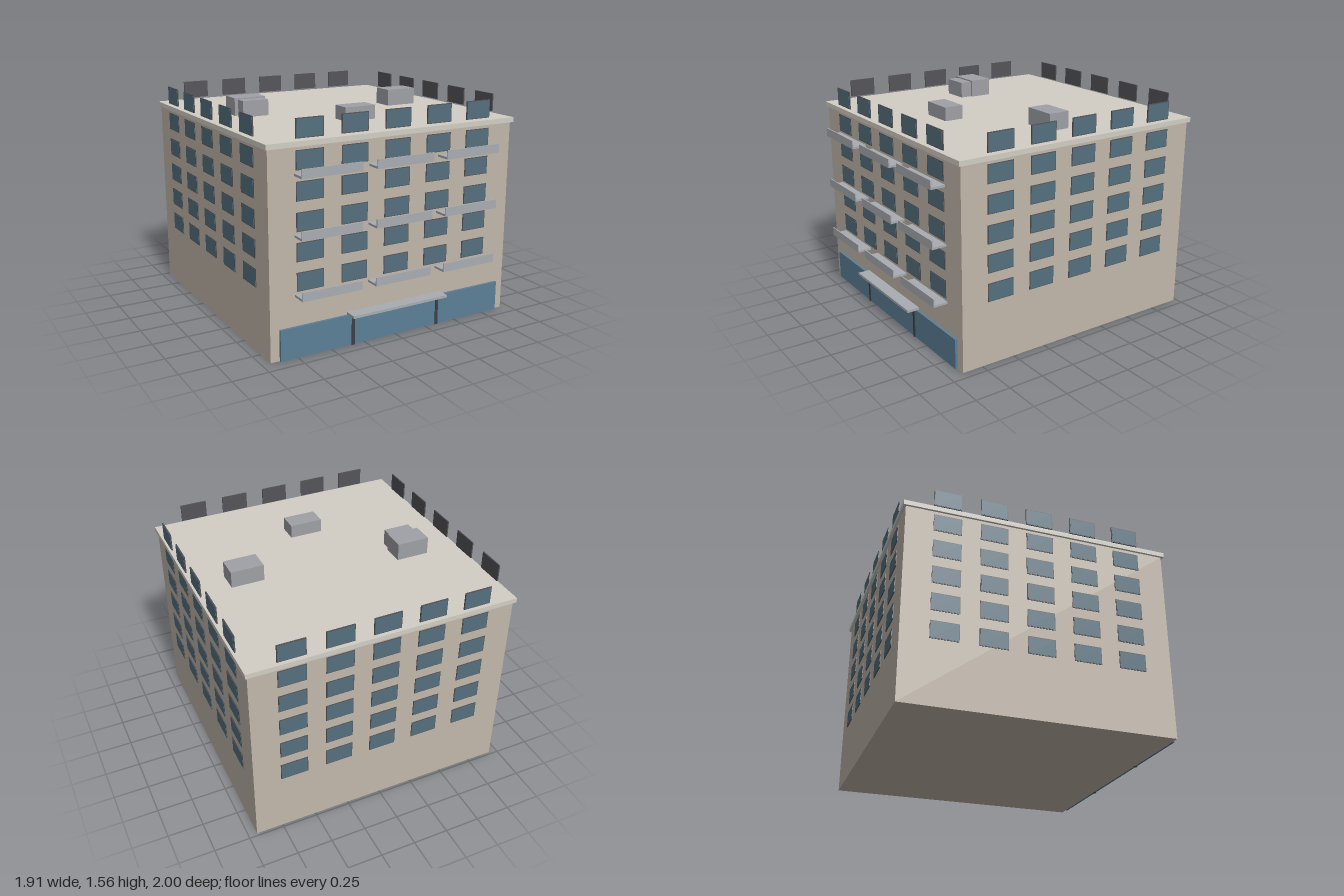
import * as THREE from 'three';

const mat = (color) => new THREE.MeshStandardMaterial({ color });

export function createModel() {
  const model = new THREE.Group();
  model.name = 'apartmentBlock';

  const wall = mat(0xc2b8ab), roofMat = mat(0xd3cfc6), glass = mat(0x55707f);
  const frame = mat(0x55555a), shopGlass = mat(0x5c8098), post = mat(0x3c3f42);
  const concrete = mat(0xa9adb2), metal = mat(0xa0a1a6);

  // Box given by its lower and upper limits on each axis
  function box(name, material, x0, x1, y0, y1, z0, z1, parent = model) {
    const mesh = new THREE.Mesh(new THREE.BoxGeometry(x1 - x0, y1 - y0, z1 - z0), material);
    mesh.position.set((x0 + x1) / 2, (y0 + y1) / 2, (z0 + z1) / 2);
    mesh.name = name;
    parent.add(mesh);
    return mesh;
  }

  // Main block and roof slab
  const zMid = -0.042, halfX = 0.939, halfZ = 0.938;
  box('walls', wall, -halfX, halfX, 0, 1.385, zMid - halfZ, zMid + halfZ);
  box('roofSlab', roofMat, -0.955, 0.955, 1.383, 1.417, zMid - 0.955, zMid + 0.955);

  // Windows: six rows of five on every side, the top row standing above the roof
  const frameGeo = new THREE.BoxGeometry(0.194, 0.125, 0.009);
  const glassGeo = new THREE.BoxGeometry(0.184, 0.115, 0.004);
  ['front', 'left', 'back', 'right'].forEach((name, side) => {
    const facade = new THREE.Group();
    facade.name = name + 'Windows';
    facade.position.z = zMid;
    facade.rotation.y = side * Math.PI / 2;
    const out = side % 2 ? halfX : halfZ;
    for (let row = 0; row < 6; row++) {
      for (let col = -2; col <= 2; col++) {
        const win = new THREE.Group();
        win.name = 'window';
        const f = new THREE.Mesh(frameGeo, frame);
        f.name = 'windowFrame';
        const g = new THREE.Mesh(glassGeo, glass);
        g.name = 'windowGlass';
        g.position.z = 0.004;
        win.add(f, g);
        win.position.set(col * 0.325, 0.511 + row * 0.1965, out);
        facade.add(win);
      }
    }
    model.add(facade);
  });

  // Balconies: floor slab with a front parapet
  for (const y of [0.415, 0.81, 1.202]) {
    for (const x of [-0.543, 0, 0.543]) {
      const balcony = new THREE.Group();
      balcony.name = 'balcony';
      box('balconyFloor', concrete, x - 0.217, x + 0.217, y, y + 0.015, 0.89, 1, balcony);
      box('balconyParapet', concrete, x - 0.218, x + 0.218, y, y + 0.061, 0.992, 1, balcony);
      model.add(balcony);
    }
  }

  // Ground-floor shopfront, door posts and canopy
  box('shopfront', shopGlass, -0.875, 0.875, 0.002, 0.215, 0.89, 0.914);
  for (const x of [-0.34, 0.34]) box('doorPost', post, x - 0.011, x + 0.011, 0, 0.215, 0.895, 0.919);
  box('canopy', concrete, -0.378, 0.378, 0.215, 0.233, 0.89, 0.983);

  // Roof equipment: x0, x1, top, z0, z1
  const units = [
    [-0.705, -0.47, 1.54, -0.252, -0.095],
    [-0.68, -0.487, 1.53, -0.15, -0.01],
    [-0.148, 0.088, 1.513, 0.345, 0.483],
    [0.475, 0.71, 1.535, -0.097, 0.06],
  ];
  for (const [x0, x1, top, z0, z1] of units) box('roofUnit', metal, x0, x1, 1.41, top, z0, z1);

  return model;
}
